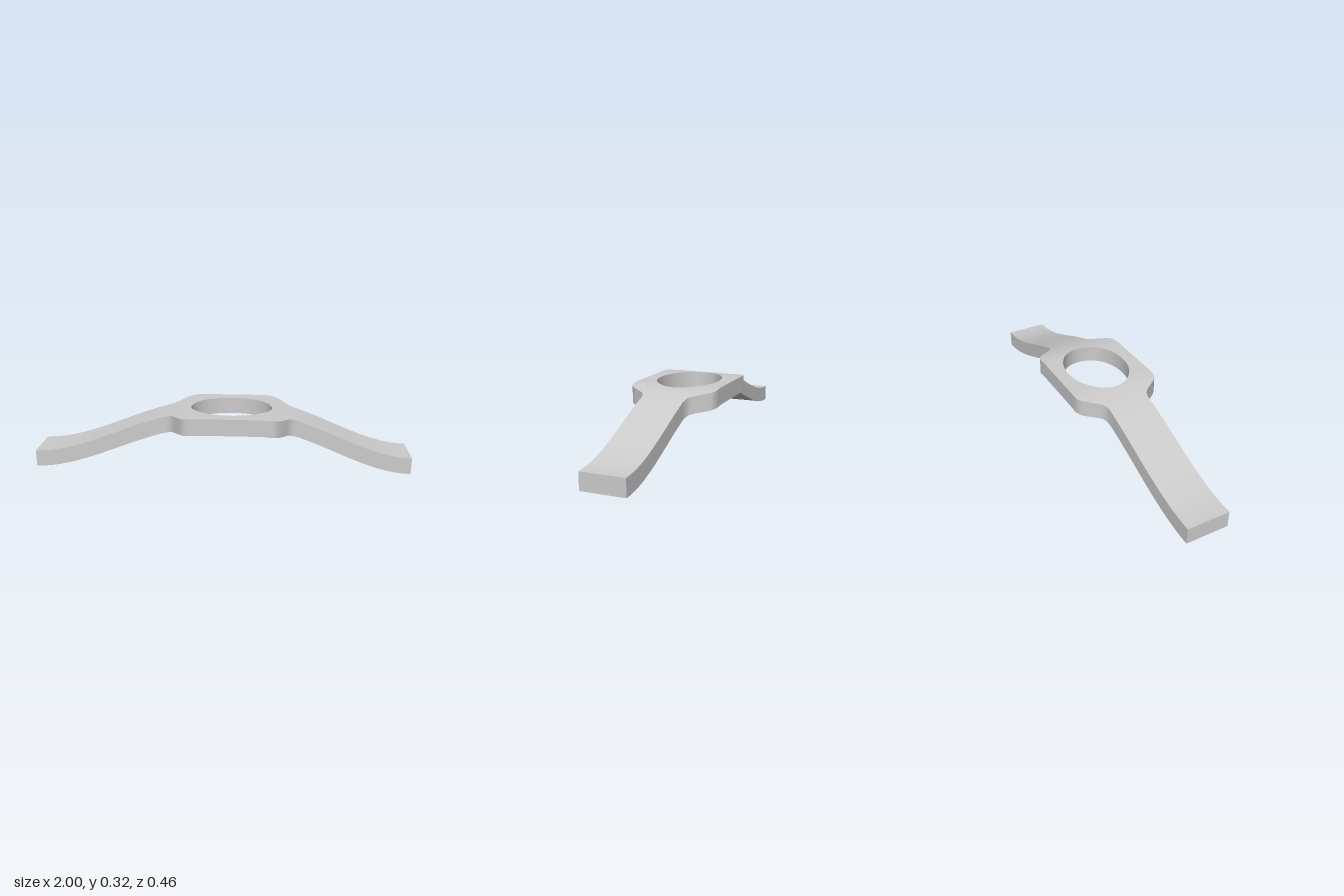
import * as THREE from 'three';
import { toCreasedNormals } from 'three/addons/utils/BufferGeometryUtils.js';

const CX = 0.05;                       // centre of the widened eye
const HOLE_RX = 0.215, HOLE_RZ = 0.163;
const THICK = 0.088, RISE = 0.232;
const FLAT_L = -0.1, FLAT_R = 0.19;    // ends of the level middle

// Half width of the outline: [distance from the eye's centre, half width]
const OUTLINE = [
  [0, 0.231], [0.2, 0.231], [0.218, 0.228], [0.237, 0.219], [0.254, 0.203], [0.268, 0.184],
  [0.295, 0.145], [0.307, 0.13], [0.32, 0.121], [0.338, 0.115], [0.36, 0.113], [2, 0.113],
];

function halfWidth(x) {
  const u = Math.abs(x - CX);
  const i = OUTLINE.findIndex((p) => p[0] > u);
  const [a, b] = [OUTLINE[i - 1], OUTLINE[i]];
  return THREE.MathUtils.mapLinear(u, a[0], b[0], a[1], b[1]);
}

function holeHalf(x) {
  const u = (x - CX) / HOLE_RX;
  return Math.abs(u) > 0.99999 ? 0 : HOLE_RZ * Math.sqrt(1 - u * u);
}

// Underside height: an S-curve from each foot up to the level middle
function bottom(x) {
  const up = THREE.MathUtils.smoothstep(x, -1, FLAT_L);
  const down = THREE.MathUtils.smoothstep(-x, -1, -FLAT_R);
  return RISE * Math.min(up, down);
}

// Stations along the length: even steps, outline corners and hole points
function stations() {
  const xs = [];
  for (let i = 0; i <= 48; i++) xs.push(-1 + i / 24);
  for (const [u] of OUTLINE.slice(1, -1)) xs.push(CX - u, CX + u);
  for (let i = 0; i <= 32; i++) xs.push(CX + HOLE_RX * Math.cos((Math.PI * i) / 32));
  xs.sort((a, b) => a - b);
  return xs.filter((x, i) => i === 0 || x - xs[i - 1] > 1e-4);
}

function barGeometry() {
  const xs = stations();
  const pos = [];
  const quad = (flip, a, b, c, d) => {
    const q = flip ? [d, c, b, a] : [a, b, c, d];
    for (const k of [0, 1, 2, 0, 2, 3]) pos.push(...q[k]);
  };

  for (const side of [1, -1]) {
    const flip = side < 0;
    // Corners of one half section: inner/outer, bottom/top
    const section = (x) => {
      const y = bottom(x), h = side * holeHalf(x), w = side * halfWidth(x);
      return { ib: [x, y, h], ob: [x, y, w], ot: [x, y + THICK, w], it: [x, y + THICK, h] };
    };
    for (let i = 0; i < xs.length - 1; i++) {
      const a = section(xs[i]), b = section(xs[i + 1]);
      quad(flip, a.it, a.ot, b.ot, b.it);      // top
      quad(flip, a.ib, b.ib, b.ob, a.ob);      // underside
      quad(flip, a.ob, b.ob, b.ot, a.ot);      // outer edge
      if (a.ib[2] !== 0 || b.ib[2] !== 0) quad(flip, a.it, b.it, b.ib, a.ib); // hole wall
    }
    // End caps
    const l = section(-1), r = section(1);
    quad(flip, l.ib, l.ob, l.ot, l.it);
    quad(!flip, r.ib, r.ob, r.ot, r.it);
  }

  const geo = new THREE.BufferGeometry();
  geo.setAttribute('position', new THREE.Float32BufferAttribute(pos, 3));
  return toCreasedNormals(geo, 0.4);
}

export function createModel() {
  const group = new THREE.Group();
  group.name = 'archedBracket';
  const bar = new THREE.Mesh(barGeometry(), new THREE.MeshStandardMaterial({ color: 0xcccccc }));
  bar.name = 'curvedBarWithEye';
  group.add(bar);
  return group;
}
